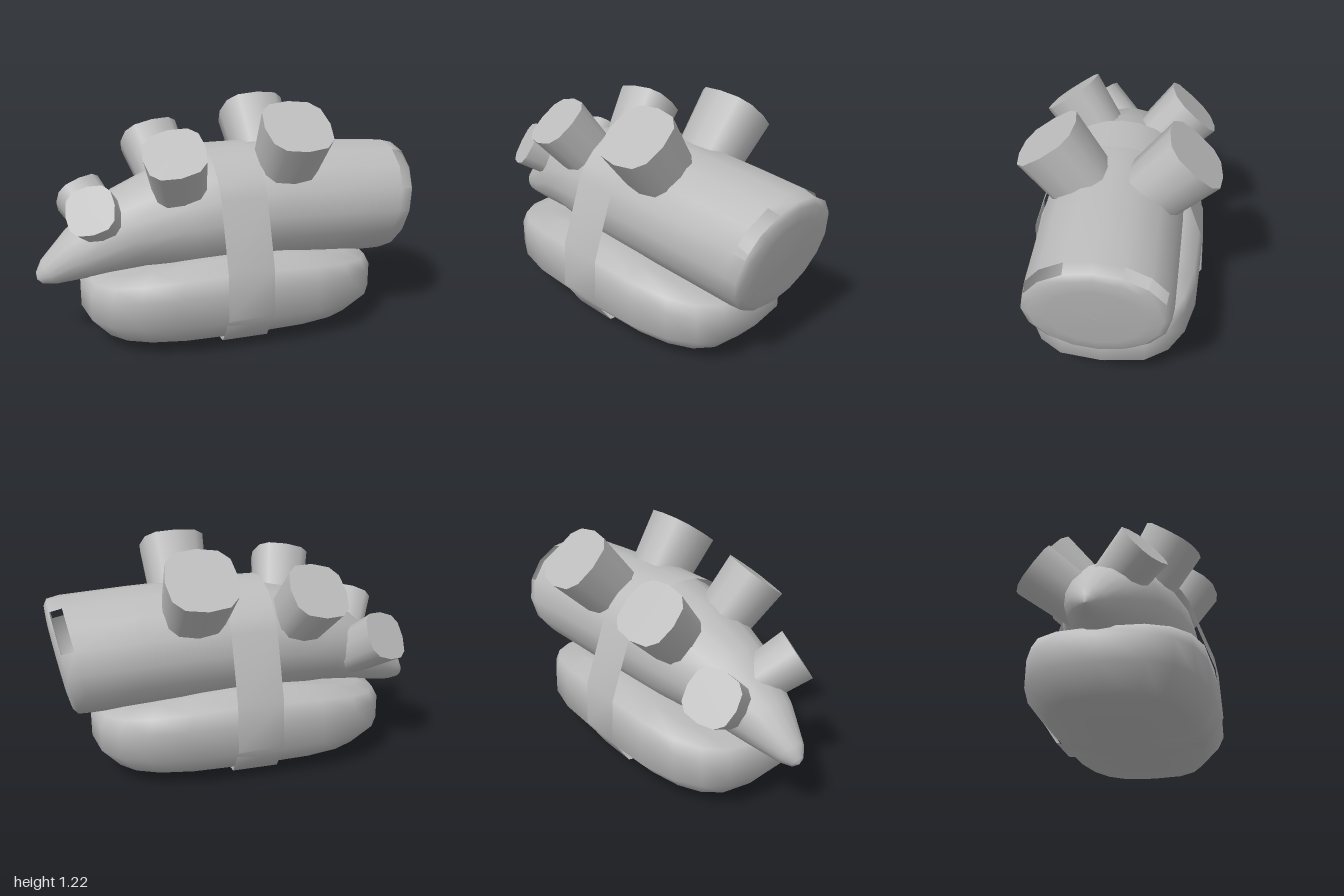
import * as THREE from 'three';

const grey = new THREE.MeshStandardMaterial({ color: 0xbcbcbc, side: THREE.DoubleSide });
grey.name = 'plain grey';

// Skin a row of closed rings; skip(i, j) leaves a quad open
function loft(rings, skip = () => false) {
  const n = rings[0].length, index = [];
  for (let i = 0; i < rings.length - 1; i++) {
    for (let j = 0; j < n; j++) {
      if (skip(i, j)) continue;
      const a = i * n + j, d = i * n + (j + 1) % n;
      index.push(a, a + n, d + n, a, d + n, d);
    }
  }
  const g = new THREE.BufferGeometry();
  g.setAttribute('position', new THREE.Float32BufferAttribute(rings.flat(2), 3));
  g.setIndex(index);
  g.computeVertexNormals();
  return g;
}

const power = (v, n) => Math.sign(v) * Math.abs(v) ** (2 / n);
const circle = (n, f) => Array.from({ length: n }, (_, j) => f(j / n * Math.PI * 2));
const MID = 0.04; // z of the long axis

// Arched horn body: x, y, vertical radius, side radius, ring tilt
function bodyGeometry() {
  const sections = [
    [-0.997, 0.345, 0.001, 0.001, -0.5],
    [-0.985, 0.352, 0.035, 0.035, -0.5],
    [-0.94, 0.38, 0.072, 0.075, -0.5],
    [-0.78, 0.465, 0.14, 0.15, -0.45],
    [-0.52, 0.575, 0.22, 0.24, -0.35],
    [-0.25, 0.63, 0.285, 0.31, -0.2],
    [0, 0.66, 0.31, 0.342, -0.07],
    [0.25, 0.665, 0.315, 0.35, 0],
    [0.55, 0.655, 0.311, 0.35, 0.08],
    [0.86, 0.64, 0.308, 0.348, 0.19],
    [0.923, 0.632, 0.3, 0.34, 0.19],
    [0.943, 0.63, 0.27, 0.305, 0.19],
    [0.95, 0.629, 0.2, 0.225, 0.19],
    [0.952, 0.629, 0.001, 0.001, 0.19],
  ];
  const rings = sections.map(([x, y, ry, rz, t]) => circle(16, a => [
    x + Math.sin(t) * ry * Math.sin(a),
    y + Math.cos(t) * ry * Math.sin(a),
    MID + rz * Math.cos(a),
  ]));
  // one slot on each upper side near the blunt end
  return loft(rings, (i, j) => i === 9 && [1, 2, 5, 6].includes(j));
}

// Cushion base: y, half length, half width, drop of the ring towards the ends
function baseGeometry() {
  const levels = [
    [0.02, 0.01, 0.01, 0],
    [0.022, 0.38, 0.1, 0],
    [0.057, 0.69, 0.35, 0],
    [0.175, 0.79, 0.458, 0],
    [0.33, 0.79, 0.455, 0.03],
    [0.425, 0.76, 0.44, 0.07],
    [0.48, 0.68, 0.34, 0.1],
    [0.46, 0.4, 0.2, 0.05],
    [0.45, 0.001, 0.001, 0],
  ];
  return loft(levels.map(([y, a, b, drop]) => circle(20, t => {
    const x = -power(Math.sin(t), 3);
    return [0.008 + a * x, y - drop * x * x, MID + b * power(Math.cos(t), 3)];
  })));
}

// Thin band wrapped around body and base
function strapGeometry() {
  const path = [];
  for (let k = 0; k <= 10; k++) {
    const a = (20 + 14 * k) * Math.PI / 180;
    path.push([0.358 * Math.cos(a), 0.662 + 0.326 * Math.sin(a)]);
  }
  const side = [[0.452, 0.44], [0.465, 0.2], [0.36, 0.042]];
  side.forEach(([z, y]) => path.push([-z, y]));
  path.push([0, 0]);
  side.reverse().forEach(([z, y]) => path.push([z, y]));
  return loft([-0.12, 0.12].map(x => path.map(([z, y]) => [x, y, MID + z])));
}

// Stub pipe with a squarish closed end, placed by the centre of that end
function pipe(name, end, direction, radius, length) {
  const g = new THREE.CylinderGeometry(radius, radius * 0.84, length, 12);
  const p = g.attributes.position;
  for (let i = 0; i < p.count; i++) {
    const r = Math.hypot(p.getX(i), p.getZ(i));
    if (r < 1e-6) continue;
    p.setX(i, r * power(p.getX(i) / r, 2.8));
    p.setZ(i, r * power(p.getZ(i) / r, 2.8));
  }
  g.translate(0, -length / 2, 0);
  const up = new THREE.Vector3(...direction).normalize();
  const out = new THREE.Vector3(1, 0, 0).cross(up).normalize();
  const along = up.clone().cross(out);
  const mesh = new THREE.Mesh(g, grey);
  mesh.quaternion.setFromRotationMatrix(new THREE.Matrix4().makeBasis(along, up, out));
  mesh.position.set(...end);
  mesh.name = name;
  return mesh;
}

export function createModel() {
  const model = new THREE.Group();
  model.name = 'strappedHorn';
  const add = (name, geometry) => {
    const mesh = new THREE.Mesh(geometry, grey);
    mesh.name = name;
    model.add(mesh);
  };
  add('body', bodyGeometry());
  add('base', baseGeometry());
  add('strap', strapGeometry());

  // Pipes in three sizes, a pair of each
  const pipes = [
    ['largePipeFront', [0.28, 1.12, 0.355], [0, 0.82, 0.57], 0.174, 0.42],
    ['largePipeBack', [0.28, 1.08, -0.36], [0, 0.73, -0.68], 0.178, 0.42],
    ['middlePipeFront', [-0.34, 1.02, 0.335], [-0.22, 0.79, 0.57], 0.153, 0.38],
    ['middlePipeBack', [-0.325, 0.975, -0.325], [-0.18, 0.71, -0.68], 0.16, 0.38],
    ['smallPipeFront', [-0.74, 0.75, 0.25], [-0.42, 0.55, 0.72], 0.125, 0.31],
    ['smallPipeBack', [-0.73, 0.69, -0.28], [-0.38, 0.55, -0.75], 0.132, 0.33],
  ];
  pipes.forEach(args => model.add(pipe(...args)));
  return model;
}
